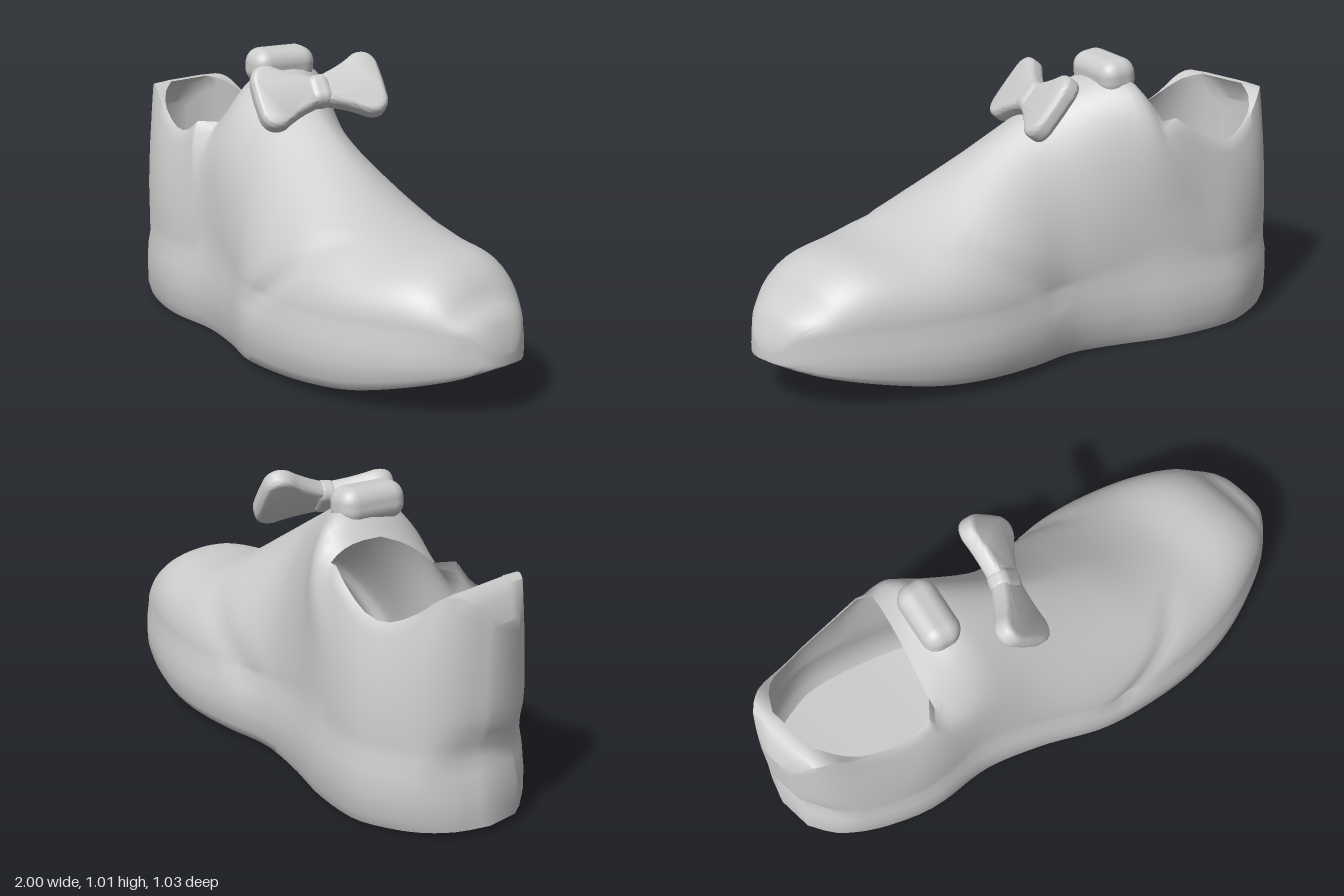
import * as THREE from 'three';
import { toCreasedNormals } from 'three/addons/utils/BufferGeometryUtils.js';
import { RoundedBoxGeometry } from 'three/addons/geometries/RoundedBoxGeometry.js';

const mix = (a, b, t) => a + (b - a) * t;

// Smooth function of x through a few [x, value] points
function profile(...pts) {
  const slope = (i) => {
    const a = pts[Math.max(i - 1, 0)], b = pts[Math.min(i + 1, pts.length - 1)];
    return (b[1] - a[1]) / (b[0] - a[0]);
  };
  return (x) => {
    let i = 0;
    while (i < pts.length - 2 && x > pts[i + 1][0]) i++;
    const [x0, y0] = pts[i], [x1, y1] = pts[i + 1];
    const h = x1 - x0, t = THREE.MathUtils.clamp((x - x0) / h, 0, 1);
    const s = t * t * (3 - 2 * t);
    return mix(y0, y1, s) + h * t * (1 - t) * ((1 - t) * slope(i) - t * slope(i + 1));
  };
}

// Plan outline of the sole
const rightEdge = profile([-1, -0.27], [-0.95, -0.38], [-0.85, -0.47], [-0.7, -0.515], [-0.6, -0.515],
  [-0.4, -0.45], [-0.2, -0.36], [0, -0.298], [0.2, -0.295], [0.4, -0.27], [0.6, -0.2], [0.8, -0.085],
  [0.9, 0], [0.96, 0.075], [0.985, 0.12], [1, 0.165]);
const leftEdge = profile([-1, -0.13], [-0.95, -0.03], [-0.85, 0.06], [-0.7, 0.14], [-0.6, 0.17], [-0.4, 0.2],
  [-0.2, 0.29], [0, 0.41], [0.2, 0.475], [0.4, 0.508], [0.6, 0.498], [0.8, 0.44], [0.9, 0.38],
  [0.96, 0.32], [0.985, 0.285], [1, 0.24]);
// Side profile: underside, welt, top line and its sideways position
const underside = profile([-1, 0.025], [-0.4, 0], [0, 0.015], [0.4, 0.035], [0.6, 0.055], [0.9, 0.125], [1, 0.165]);
const welt = profile([-1, 0.21], [0.5, 0.21], [0.9, 0.21], [1, 0.18]);
const topLine = profile([-1, 0.71], [-0.97, 0.78], [-0.93, 0.815], [-0.88, 0.805], [-0.8, 0.74], [-0.7, 0.69],
  [-0.62, 0.69], [-0.55, 0.73], [-0.45, 0.84], [-0.38, 0.92], [-0.33, 0.95], [-0.27, 0.94], [-0.2, 0.91], [0, 0.8],
  [0.2, 0.68], [0.4, 0.56], [0.55, 0.5], [0.75, 0.475], [0.85, 0.42], [0.9, 0.355], [0.96, 0.31], [1, 0.21]);
const ridge = profile([-1, -0.2], [-0.38, -0.16], [0, 0], [0.4, 0.1], [1, 0.2]);
// How square each arch is
const squareness = profile([-0.43, 2.8], [-0.3, 2.5], [-0.2, 2.1], [0, 1.65], [0.3, 1.8], [0.6, 2.3], [1, 2.4]);
// Ankle opening: rim width as a share of the sole width, and the rounding of its back end
const rimShare = profile([-1, 0.8], [-0.85, 0.75], [-0.7, 0.73], [-0.55, 0.73], [-0.43, 0.69]);
const backRound = profile([-0.9, 0.55], [-0.85, 0.88], [-0.77, 1], [-0.4, 1]);
const HOLE_BACK = -0.9;

const WALL = 10; // points up each outer wall
const INNER = 6; // points from the rim to the middle
const EDGE = 4 + WALL + 1; // index of the first point inside the rim
const LIMIT = 0.94; // arch angle that lines up with the rim

// One half of a cross-section, from the bottom edge to the middle
function halfSection(x, side, open) {
  const r = rightEdge(x), l = leftEdge(x), c = (r + l) / 2, half = (l - r) / 2;
  const bot = underside(x), w = welt(x), top = topLine(x), n = squareness(x);
  const base = Math.min(w + 0.05, mix(w, top, 0.4)), inset = half * 0.95;
  const pts = [
    [x, bot, c + side * half * 0.93], [x, mix(bot, w, 0.2), c + side * half * 0.99],
    [x, mix(bot, w, 0.6), c + side * half], [x, w, c + side * half * 0.995],
  ];
  const arch = (a) => {
    const s = Math.sin(a), y = mix(base, top, s ** (2 / n));
    // crease between the toe cap and the instep
    const d = x - 0.04 - (y - 0.22) * 1.3;
    const dent = y < 0.5 ? 1 - 0.05 * Math.exp(-((d / 0.06) ** 2)) : 1;
    const k = Math.max(Math.cos(a), 0) ** (2 / n);
    return [x, y, c + side * inset * k * dent + (ridge(x) - c) * s * s];
  };
  const rim = half * rimShare(x), hole = (rim - 0.008) * backRound(x);
  for (let i = 0; i <= WALL; i++) {
    const t = i / WALL;
    if (open) pts.push([x, mix(base, top - 0.004, t), c + side * mix(inset, rim, t ** 2.2)]);
    else pts.push(arch(t * LIMIT));
  }
  for (let i = 0; i < INNER; i++) {
    if (open) pts.push([x, top, c + side * hole * (1 - i / (INNER - 1))]);
    else pts.push(arch(mix(LIMIT, Math.PI / 2, (i + 1) / INNER)));
  }
  const heel = THREE.MathUtils.smoothstep(-x, 0.86, 1);
  const slant = Math.exp(-(((x + 0.43) / 0.13) ** 2));
  for (const p of pts) {
    // waist above the heel of the sole
    p[0] += 0.035 * heel * Math.exp(-(((p[1] - 0.27) / 0.08) ** 2));
    // the front edge of the opening runs square to the slanted ankle
    const high = THREE.MathUtils.smoothstep(p[1], 0.45, 0.85);
    const shift = -0.32 * (p[2] + 0.17) * slant * high;
    p[0] += shift;
    p[1] += high * Math.min(topLine(x + shift) - top, 0);
  }
  return pts;
}

// Shoe body lofted from heel to toe as a thin shell, leaving out the ankle opening
function bodyGeometry() {
  const stations = [];
  for (const x of [-1, -0.99, -0.97, -0.945, -0.92, HOLE_BACK, -0.88, -0.86, -0.83, -0.8, -0.75, -0.7, -0.65,
    -0.6, -0.56, -0.52, -0.48]) stations.push([x, true]);
  for (const x of [-0.435, -0.4, -0.37, -0.34, -0.3, -0.26]) stations.push([x, false]);
  for (let x = -0.22; x < 0.8; x += 0.04) stations.push([x, false]);
  for (const x of [0.82, 0.85, 0.875, 0.9, 0.925, 0.95, 0.97, 0.985, 1]) stations.push([x, false]);

  const rings = stations.map(([x, open]) => {
    const left = halfSection(x, 1, open), right = halfSection(x, -1, open);
    return [...left, ...right.reverse().slice(1)];
  });
  const m = rings[0].length, last = rings.length - 1, index = [];
  for (let i = 0; i < last; i++) {
    const [x, open] = stations[i];
    for (let j = 0; j < m; j++) {
      if (open && x >= HOLE_BACK && j >= EDGE && j < m - 1 - EDGE) continue;
      const k = (j + 1) % m;
      const a = i * m + j, b = a + m, c = (i + 1) * m + k, d = i * m + k;
      index.push(a, b, c, a, c, d);
    }
  }
  // Close the heel and the toe with strips from left to right
  for (let j = 0; j < (m - 1) / 2; j++) {
    const a = j, b = j + 1, c = m - 2 - j, d = m - 1 - j, e = last * m;
    index.push(a, b, c, a, c, d);
    index.push(e + d, e + c, e + b, e + d, e + b, e + a);
  }
  const g = new THREE.BufferGeometry();
  g.setAttribute('position', new THREE.Float32BufferAttribute(rings.flat(2), 3));
  g.setIndex(index);
  return toCreasedNormals(g, 1.1);
}

// Flared bow loop pointing along +x
function bowLoopGeometry() {
  const s = new THREE.Shape();
  s.moveTo(0.015, -0.035);
  s.quadraticCurveTo(0.1, -0.06, 0.16, -0.1);
  s.quadraticCurveTo(0.205, -0.115, 0.215, -0.07);
  s.quadraticCurveTo(0.22, 0, 0.215, 0.07);
  s.quadraticCurveTo(0.205, 0.115, 0.16, 0.1);
  s.quadraticCurveTo(0.1, 0.06, 0.015, 0.035);
  const g = new THREE.ExtrudeGeometry(s, {
    depth: 0.025, bevelThickness: 0.022, bevelSize: 0.02, bevelSegments: 4, curveSegments: 8,
  });
  g.translate(0, 0, -0.0125);
  return toCreasedNormals(g, 0.9);
}

export function createModel() {
  const group = new THREE.Group();
  const grey = new THREE.MeshStandardMaterial({ color: 0xcccccc, side: THREE.DoubleSide });
  grey.name = 'light grey';
  const add = (parent, name, geometry) => {
    const mesh = new THREE.Mesh(geometry, grey);
    mesh.name = name;
    parent.add(mesh);
    return mesh;
  };

  add(group, 'shoeBody', bodyGeometry());

  // Tongue standing above the opening
  const tongue = add(group, 'tongue', new RoundedBoxGeometry(0.14, 0.13, 0.25, 5, 0.055));
  tongue.position.set(-0.33, 0.945, -0.12);
  tongue.rotation.set(0, -0.25, -0.1);

  // Bow lying on the slope of the instep
  const bow = new THREE.Group();
  bow.name = 'bow';
  const along = new THREE.Vector3(0.455, 0.085, -0.88).normalize();
  const out = new THREE.Vector3(-0.57, 0.75, -0.22).cross(along).negate().normalize();
  const up = out.clone().cross(along);
  bow.quaternion.setFromRotationMatrix(new THREE.Matrix4().makeBasis(along, up, out));
  bow.position.set(-0.055, 0.888, -0.036);
  const loop = bowLoopGeometry();
  add(bow, 'bowLoopRight', loop);
  add(bow, 'bowLoopLeft', loop).rotation.z = Math.PI;
  add(bow, 'bowKnot', new RoundedBoxGeometry(0.09, 0.12, 0.085, 4, 0.035));
  group.add(bow);
  return group;
}
